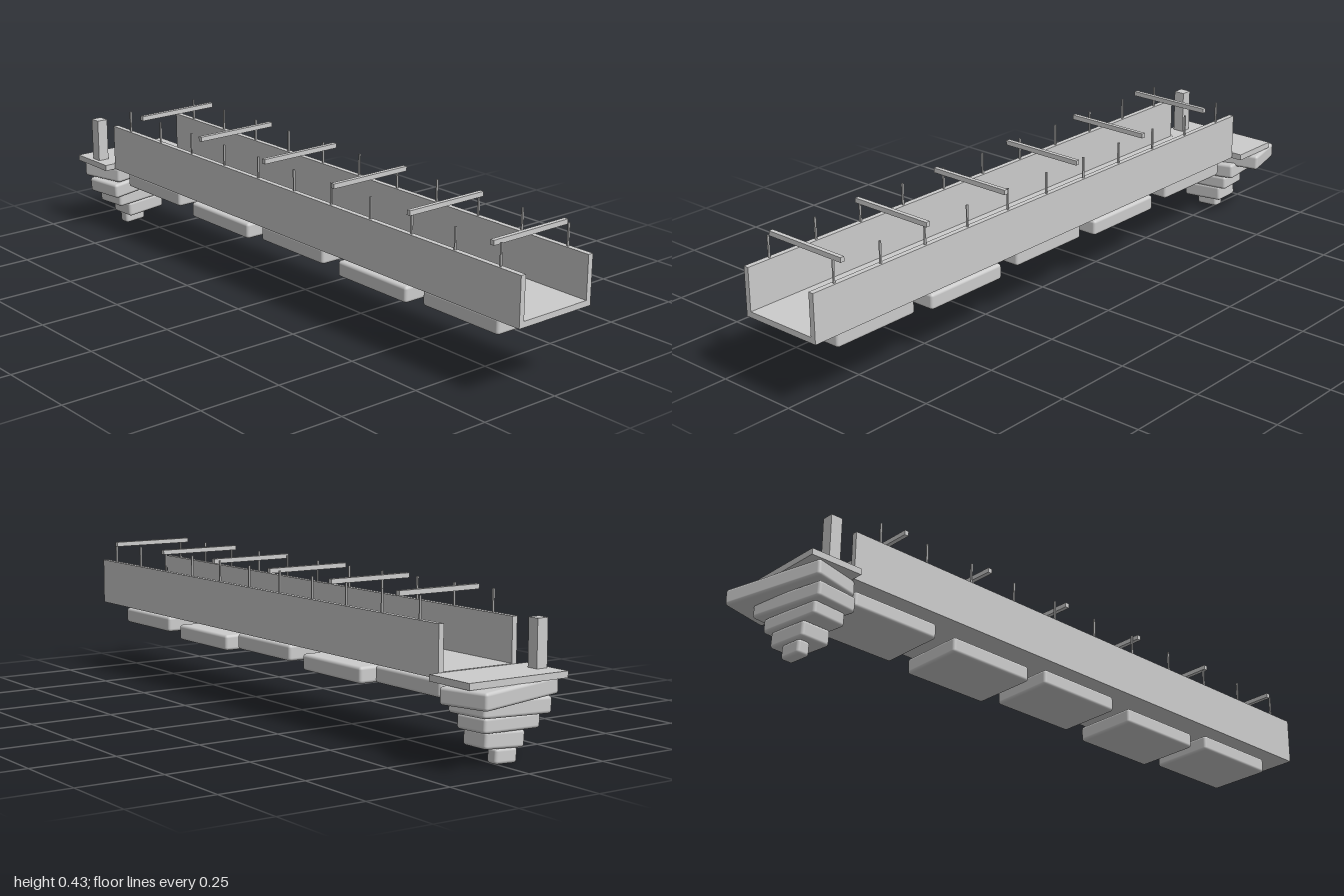
import * as THREE from 'three';
import { RoundedBoxGeometry } from 'three/addons/geometries/RoundedBoxGeometry.js';

export function createModel() {
  const model = new THREE.Group();
  model.name = 'bridge';
  const stone = new THREE.MeshStandardMaterial({ color: 0xcccccc });
  stone.name = 'pale stone';

  const add = (name, geometry, x, y, z) => {
    const mesh = new THREE.Mesh(geometry, stone);
    mesh.name = name;
    mesh.position.set(x, y, z);
    model.add(mesh);
    return mesh;
  };
  const box = (name, x0, x1, y0, y1, z0, z1) => add(name,
    new THREE.BoxGeometry(x1 - x0, y1 - y0, z1 - z0),
    (x0 + x1) / 2, (y0 + y1) / 2, (z0 + z1) / 2);
  const slab = (name, w, h, d, x, y, z, radius = 0.009) =>
    add(name, new RoundedBoxGeometry(w, h, d, 3, radius), x, y, z);

  // Walkway: floor and two long side walls
  box('floor', -0.141, 0.118, 0.222, 0.239, -0.785, 1);
  box('rightWall', -0.141, -0.125, 0.239, 0.363, -0.785, 1);
  box('leftWall', 0.102, 0.118, 0.239, 0.363, -0.785, 1);

  // Thin posts along both walls
  for (let i = 0; i < 11; i++) {
    const z = 0.922 - 0.162 * i;
    for (const x of [-0.133, 0.11]) {
      box('post', x - 0.0025, x + 0.0025, 0.36, 0.426, z - 0.0025, z + 0.0025);
    }
  }

  // Crossbars over the walkway
  for (let i = 0; i < 6; i++) {
    const z = 0.901 - 0.304 * i;
    box('crossbar', -0.145, 0.122, 0.416, 0.43, z - 0.0065, z + 0.0065);
  }

  // Blocks hanging under the floor, alternately high and low
  for (let i = 0; i < 5; i++) {
    slab('underBlock', 0.2, 0.047, 0.28, -0.011, i % 2 ? 0.173 : 0.188, 0.76 - 0.344 * i);
  }

  // End platform with a single pillar
  box('platform', -0.174, 0.15, 0.22, 0.238, -0.946, -0.788);
  box('pillar', -0.16, -0.125, 0.238, 0.369, -0.882, -0.847);

  // Tapering stack of tilted slabs: w, h, d, x, y, z, yaw, roll
  const stack = [
    [0.315, 0.047, 0.148, 0, 0.197, -0.885, 0.25, -0.01],
    [0.252, 0.046, 0.13, -0.027, 0.154, -0.857, 0.12, 0.065],
    [0.2, 0.042, 0.105, -0.025, 0.112, -0.853, 0.09, 0.04],
    [0.135, 0.047, 0.09, -0.011, 0.07, -0.852, 0.04, 0.07],
    [0.073, 0.042, 0.038, -0.022, 0.026, -0.872, 0.03, 0.05],
  ];
  for (const [w, h, d, x, y, z, yaw, roll] of stack) {
    slab('stackSlab', w, h, d, x, y, z).rotation.set(0, yaw, roll);
  }
  return model;
}
